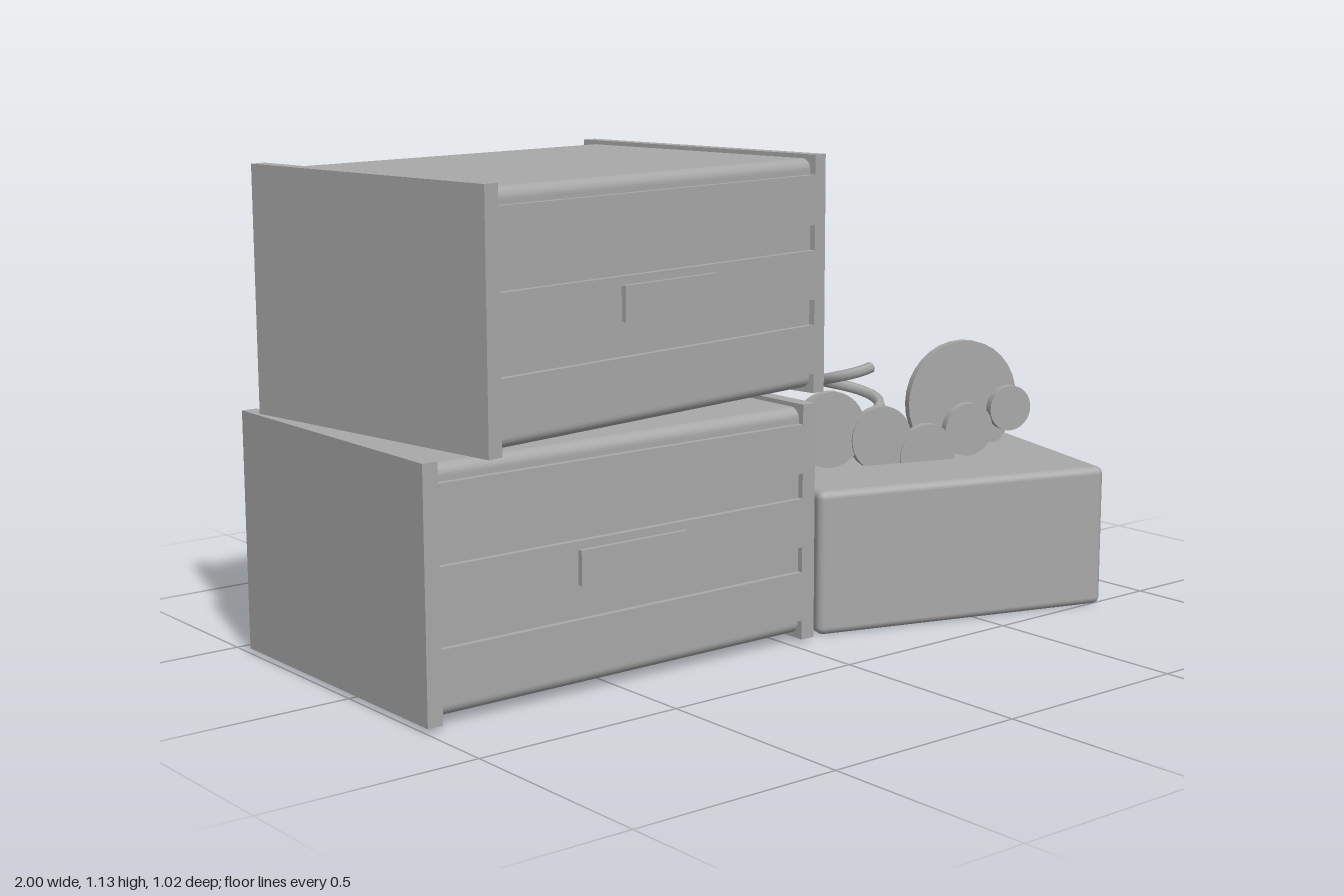
import * as THREE from 'three';
import { RoundedBoxGeometry } from 'three/addons/geometries/RoundedBoxGeometry.js';

const grey = new THREE.MeshStandardMaterial({ color: 0xa8a8a8 });
grey.name = 'grey';
const greyTwoSided = grey.clone();
greyTwoSided.name = 'grey';
greyTwoSided.side = THREE.DoubleSide;

function add(parent, name, geometry, x, y, z, material = grey) {
  const mesh = new THREE.Mesh(geometry, material);
  mesh.name = name;
  mesh.position.set(x, y, z);
  parent.add(mesh);
  return mesh;
}

const box = (w, h, d) => new THREE.BoxGeometry(w, h, d);

// Bar of rounded rectangular section running along x
function roundedBar(length, height, depth, r) {
  const s = new THREE.Shape();
  const a = depth / 2, b = height / 2;
  s.moveTo(-a + r, -b);
  s.lineTo(a - r, -b);
  s.absarc(a - r, -b + r, r, -Math.PI / 2, 0, false);
  s.lineTo(a, b - r);
  s.absarc(a - r, b - r, r, 0, Math.PI / 2, false);
  s.lineTo(-a + r, b);
  s.absarc(-a + r, b - r, r, Math.PI / 2, Math.PI, false);
  s.lineTo(-a, -b + r);
  s.absarc(-a + r, -b + r, r, Math.PI, Math.PI * 1.5, false);
  const g = new THREE.ExtrudeGeometry(s, { depth: length, bevelEnabled: false, curveSegments: 4 });
  return g.translate(0, 0, -length / 2).rotateY(Math.PI / 2);
}

// Crate: rounded core, two end panels, three front boards and a label plate
function createCrate(name) {
  const W = 1.06, H = 0.555, D = 0.75, panel = 0.037;
  const crate = new THREE.Group();
  crate.name = name;
  add(crate, 'crateBody', roundedBar(W - panel, H - 0.02, D - 0.03, 0.025), 0, H / 2, 0);
  for (const side of [-1, 1]) {
    add(crate, 'endPanel', box(panel, H, D), side * (W - panel) / 2, H / 2, 0);
  }
  for (const i of [-1, 0, 1]) {
    add(crate, 'frontBoard', box(W - panel * 2, 0.115, 0.04), 0, H / 2 + i * 0.174, D / 2 - 0.02);
  }
  add(crate, 'labelPlate', box(0.29, 0.078, 0.012), 0, H / 2, D / 2 + 0.006);
  return crate;
}

// Upright coil, winding down from the front
class Coil extends THREE.Curve {
  getPoint(t, target = new THREE.Vector3()) {
    const a = t * 1.75 * Math.PI * 2;
    return target.set(-Math.sin(a) * 0.074, 0.57 - t * 0.21, Math.cos(a) * 0.074);
  }
}

export function createModel() {
  const model = new THREE.Group();
  model.name = 'cratesAndToys';

  const lower = createCrate('lowerCrate');
  lower.position.set(-0.468, 0.015, -0.065);
  const upper = createCrate('upperCrate');
  upper.position.set(-0.42, 0.575, -0.062);
  upper.rotation.y = 0.148;
  model.add(lower, upper);

  // Small rounded box turned the other way
  const turn = -0.303;
  const small = add(model, 'smallBox', new RoundedBoxGeometry(0.768, 0.346, 0.577, 3, 0.018), 0.55, 0.177, 0.128);
  small.rotation.y = turn;

  // Flat discs standing on the box: x, y, z, radius
  const discs = [
    [0.3, 0.446, 0.095, 0.094],
    [0.43, 0.415, 0.14, 0.08],
    [0.55, 0.367, 0.18, 0.075],
    [0.668, 0.418, 0.205, 0.066],
    [0.795, 0.46, 0.225, 0.057],
    [0.762, 0.465, 0.09, 0.154],
  ];
  const toys = new THREE.Group();
  toys.name = 'toys';
  model.add(toys);
  for (const [x, y, z, r] of discs) {
    const g = new THREE.CylinderGeometry(r, r, 0.022, 32).rotateX(Math.PI / 2);
    add(toys, 'toyDisc', g, x, y, z).rotation.y = turn;
  }

  add(toys, 'spring', new THREE.TubeGeometry(new Coil(), 42, 0.014, 6), 0.5, 0, -0.042, greyTwoSided);
  return model;
}
